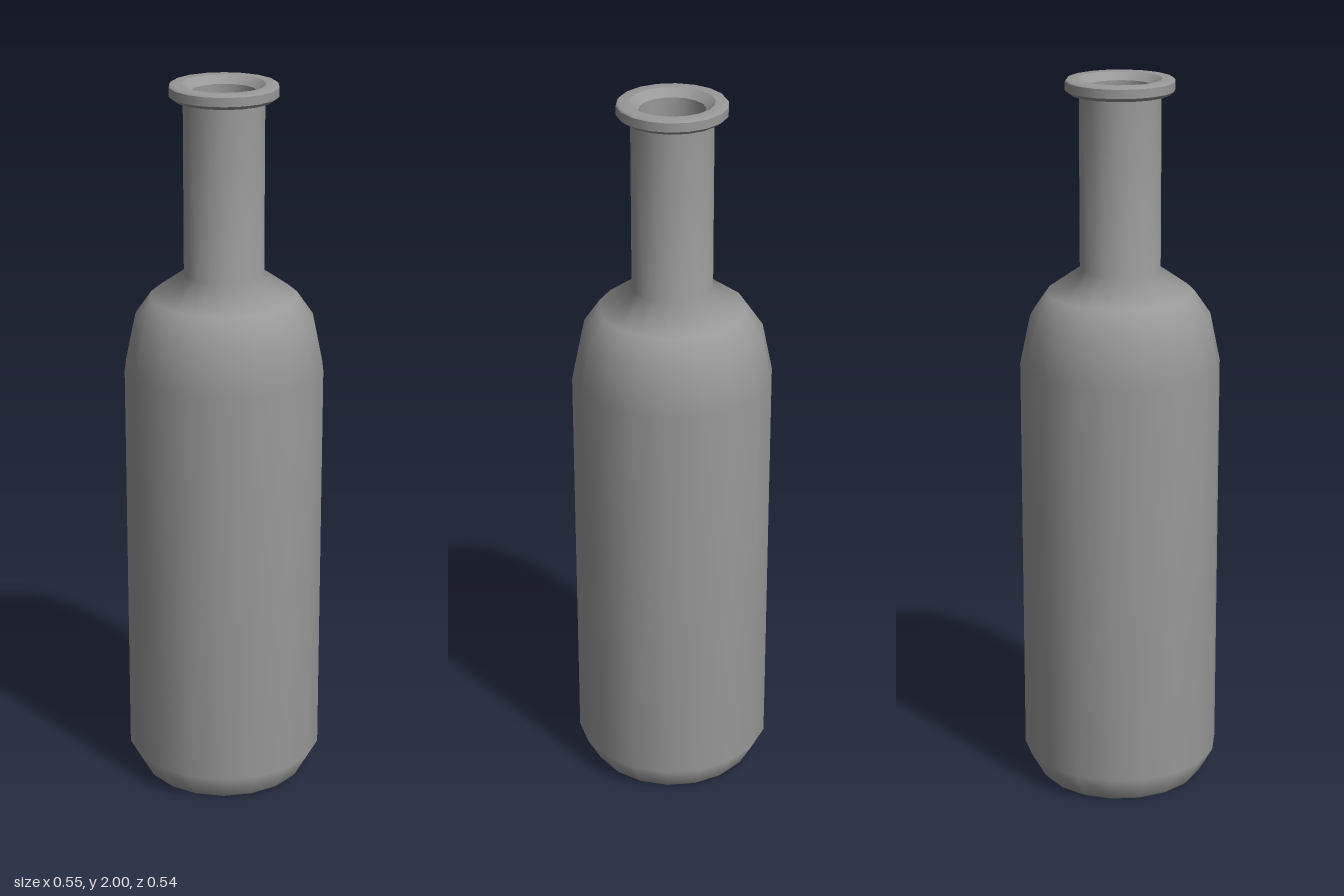
import * as THREE from 'three';

const SIDES = 18;

export function createModel() {
  const bottle = new THREE.Group();
  bottle.name = 'bottle';
  const material = new THREE.MeshStandardMaterial({ color: 0x999999, side: THREE.DoubleSide });

  // Each smooth stretch of the profile is its own lathe, so edges between stretches stay sharp
  const turn = (name, profile) => {
    const points = profile.map(([r, y]) => new THREE.Vector2(r, y));
    const mesh = new THREE.Mesh(new THREE.LatheGeometry(points, SIDES, Math.PI / 2), material);
    mesh.name = name;
    bottle.add(mesh);
  };

  // Flat underside
  turn('base', [[0, 0], [0.228, 0]]);

  // Bevelled foot, straight body, rounded shoulder and neck
  turn('bodyAndNeck', [
    [0.228, 0], [0.235, 0.008], [0.275, 0.08], [0.275, 1.22], [0.247, 1.355],
    [0.202, 1.42], [0.11, 1.485], [0.11, 1.96],
  ]);

  // Lip around the mouth, its top softly rounded into the side
  turn('lipUnderside', [[0.11, 1.96], [0.135, 1.96], [0.147, 1.97]]);
  turn('lipSide', [[0.147, 1.97], [0.147, 1.994]]);
  turn('lipTop', [[0.147, 1.994], [0.142, 2], [0.112, 2]]);

  // Mouth: sloped edge, inner wall and floor
  turn('mouthBevel', [[0.112, 2], [0.088, 1.98]]);
  turn('mouthWall', [[0.088, 1.98], [0.088, 1.8]]);
  turn('mouthFloor', [[0.088, 1.8], [0, 1.8]]);

  return bottle;
}
